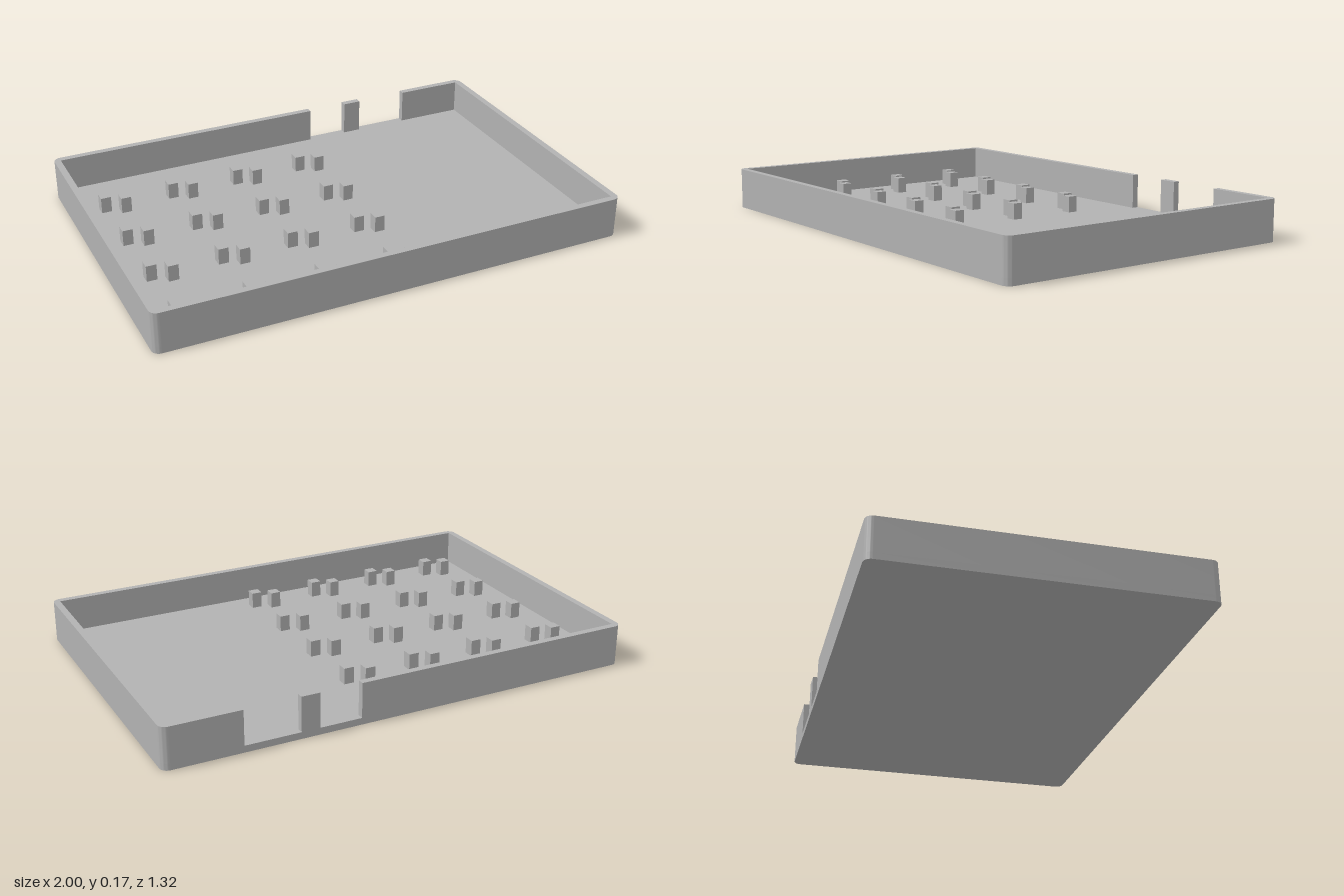
import * as THREE from 'three';
import { toCreasedNormals } from 'three/addons/utils/BufferGeometryUtils.js';

const W = 1, D = 0.661, H = 0.173;   // half width, half depth, height
const T = 0.028, R = 0.032;          // wall and floor thickness, corner radius

// Extrude a plan drawn with shape y pointing to the back, standing on y = base
function slab(shape, base, height) {
  const geo = new THREE.ExtrudeGeometry(shape, { depth: height, bevelEnabled: false, curveSegments: 8 });
  geo.rotateX(-Math.PI / 2).translate(0, base, 0);
  return toCreasedNormals(geo, 0.6);
}

// Outer edge of the tray from the back edge at x = start, round to x = end
function outerEdge(start, end) {
  const s = new THREE.Shape();
  s.moveTo(start, D);
  s.lineTo(-W + R, D);
  s.absarc(-W + R, D - R, R, Math.PI / 2, Math.PI, false);
  s.absarc(-W + R, -D + R, R, Math.PI, Math.PI * 1.5, false);
  s.absarc(W - R, -D + R, R, Math.PI * 1.5, Math.PI * 2, false);
  s.absarc(W - R, D - R, R, 0, Math.PI / 2, false);
  s.lineTo(end, D);
  return s;
}

export function createModel() {
  const group = new THREE.Group();
  const grey = new THREE.MeshStandardMaterial({ color: 0xb2b2b2 });
  grey.name = 'grey plastic';

  const add = (name, geo, parent = group) => {
    const mesh = new THREE.Mesh(geo, grey);
    mesh.name = name;
    parent.add(mesh);
    return mesh;
  };

  // Floor plate
  add('floor', slab(outerEdge(0.203, 0.203), 0, T));

  // Surrounding wall, open at the back between the cutouts
  const wall = outerEdge(0.203, 0.684);
  wall.lineTo(0.684, D - T);
  wall.lineTo(W - T, D - T);
  wall.lineTo(W - T, -D + T);
  wall.lineTo(-W + T, -D + T);
  wall.lineTo(-W + T, D - T);
  wall.lineTo(0.203, D - T);
  add('wall', slab(wall, T, H - T));

  // Post between the two cutouts
  add('cutoutPost', new THREE.BoxGeometry(0.078, H - T, T))
    .position.set(0.416, (H + T) / 2, -D + T / 2);

  // Four by four pairs of staggered pegs
  const pegs = new THREE.Group();
  pegs.name = 'pegs';
  group.add(pegs);
  const pegHeight = 0.068;
  const pegGeo = new THREE.BoxGeometry(0.043, pegHeight, 0.043);
  for (let row = 0; row < 4; row++) {
    for (let col = 0; col < 4; col++) {
      for (let k = 0; k < 2; k++) {
        add('peg', pegGeo, pegs).position.set(
          -0.859 + col * 0.2965 + k * 0.077,
          T + pegHeight / 2,
          -0.388 + row * 0.2965 + k * 0.035);
      }
    }
  }
  return group;
}
